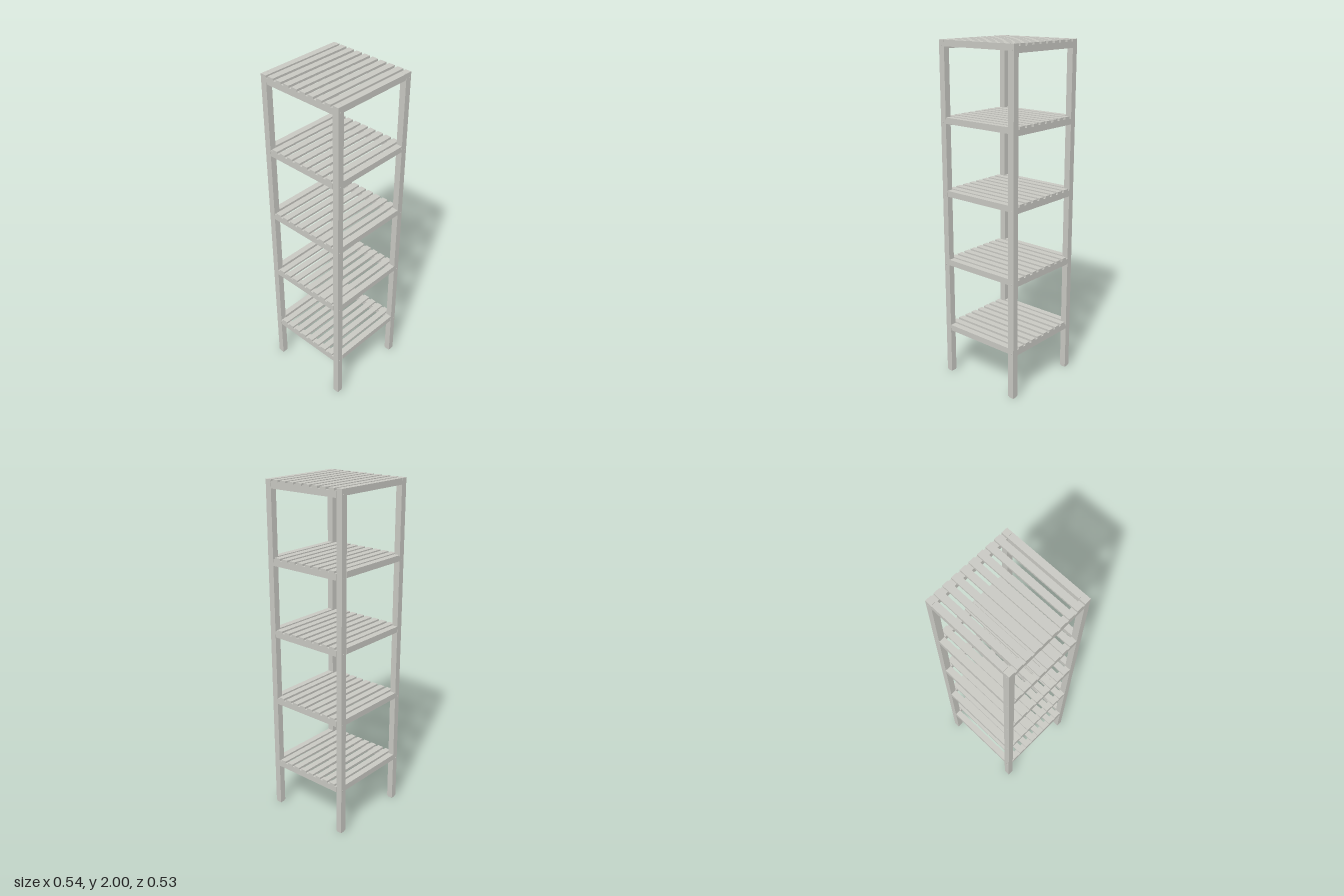
import * as THREE from 'three';

const HALF = 0.267;   // half of the footprint
const BAR = 0.0375;   // width of posts, rails and slats
const POST = HALF - BAR / 2;
const SHELVES = 5, SLATS = 8;
const SLAT_THICK = 0.0125, RAIL_HEIGHT = 0.035;

export function createModel() {
  const rack = new THREE.Group();
  rack.name = 'slattedShelfRack';
  const paint = new THREE.MeshStandardMaterial({ color: 0xc8c8c2 });
  paint.name = 'pale grey paint';

  function add(parent, name, geometry, x, y, z) {
    const mesh = new THREE.Mesh(geometry, paint);
    mesh.name = name;
    mesh.position.set(x, y, z);
    parent.add(mesh);
    return mesh;
  }

  // corner posts on small foot pads
  const postGeo = new THREE.BoxGeometry(BAR, 1.992, BAR);
  const footGeo = new THREE.BoxGeometry(BAR - 0.006, 0.008, BAR - 0.006);
  for (const sx of [-1, 1]) for (const sz of [-1, 1]) {
    add(rack, 'post', postGeo, sx * POST, 1.004, sz * POST);
    add(rack, 'footPad', footGeo, sx * POST, 0.004, sz * POST);
  }

  const railLength = 2 * (HALF - BAR) - 0.002;
  const crossRailGeo = new THREE.BoxGeometry(railLength, RAIL_HEIGHT, BAR);
  const sideRailGeo = new THREE.BoxGeometry(BAR, RAIL_HEIGHT, railLength);
  const slatGeo = new THREE.BoxGeometry(BAR, SLAT_THICK, 2 * HALF);
  const screwGeo = new THREE.CylinderGeometry(0.004, 0.004, 0.003, 10).rotateZ(Math.PI / 2);

  for (let i = 0; i < SHELVES; i++) {
    const shelf = new THREE.Group();
    shelf.name = 'shelf';
    shelf.position.y = 0.315 + i * (2 - 0.315) / (SHELVES - 1); // top surface
    rack.add(shelf);

    const crossY = -SLAT_THICK - RAIL_HEIGHT / 2;
    for (const s of [-1, 1]) {
      // front and back rails sit below the slats, side rails are flush with them
      add(shelf, s > 0 ? 'frontRail' : 'backRail', crossRailGeo, 0, crossY, s * POST);
      add(shelf, s > 0 ? 'leftRail' : 'rightRail', sideRailGeo, s * POST, -RAIL_HEIGHT / 2, 0);
      // screw heads on the outer faces of the posts
      for (const sz of [-1, 1]) add(shelf, 'screwHead', screwGeo, s * (HALF + 0.0005), crossY, sz * 0.253);
    }

    // slats running front to back
    for (let k = 0; k < SLATS; k++) {
      add(shelf, 'slat', slatGeo, (k - (SLATS - 1) / 2) * 0.0562, -SLAT_THICK / 2, 0);
    }
  }
  return rack;
}
